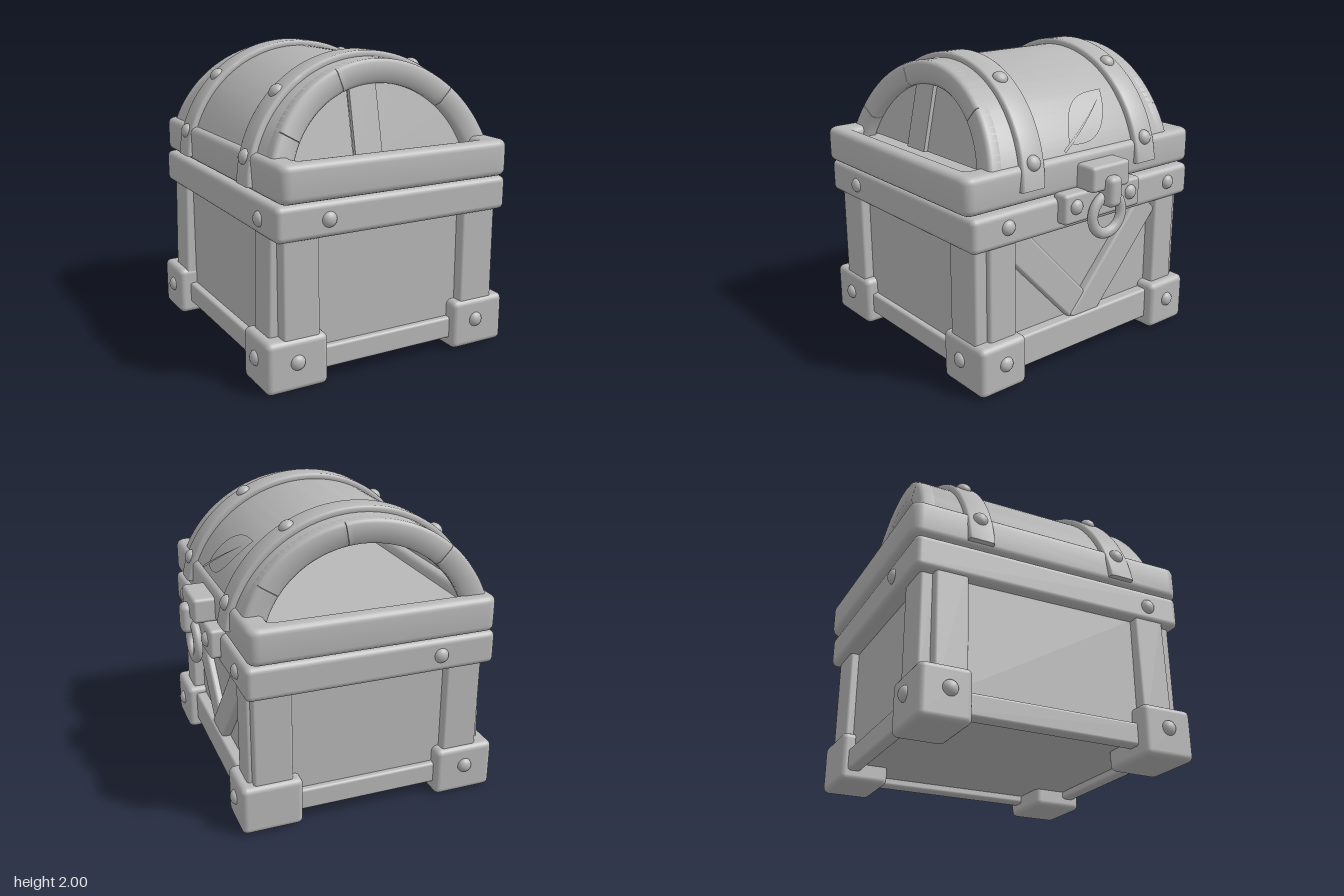
import * as THREE from 'three';
import { toCreasedNormals } from 'three/addons/utils/BufferGeometryUtils.js';
import { RoundedBoxGeometry } from 'three/addons/geometries/RoundedBoxGeometry.js';

// axis of the barrel lid, and how much wider than high it is
const CX = -0.045, CY = 1.163, WIDE = 1.035;

export function createModel() {
  const root = new THREE.Group();
  root.name = 'treasureChest';
  const grey = new THREE.MeshStandardMaterial({ color: 0xb8b8b8 });
  grey.name = 'plainGrey';

  const add = (name, geo) => {
    const m = new THREE.Mesh(geo, grey);
    m.name = name;
    root.add(m);
    return m;
  };
  // rounded box given by its bounds
  const block = (name, [x0, x1], [y0, y1], [z0, z1], r = 0.02) => {
    const m = add(name, new RoundedBoxGeometry(x1 - x0, y1 - y0, z1 - z0, 3, r));
    m.position.set((x0 + x1) / 2, (y0 + y1) / 2, (z0 + z1) / 2);
    return m;
  };
  // domed rivet facing along a direction
  const dome = new THREE.SphereGeometry(0.05, 20, 12);
  const rivet = (pos, dir) => {
    const m = add('rivet', dome);
    m.position.set(...pos);
    m.scale.z = 0.75;
    m.quaternion.setFromUnitVectors(new THREE.Vector3(0, 0, 1), new THREE.Vector3(...dir).normalize());
  };
  // bevelled bar swept round the lid axis; zBack and zFront may vary along it
  const arch = (name, ri, ro, a0, a1, zBack, zFront, bevel, steps = 48) => {
    const pos = [], idx = [], b = bevel;
    for (let i = 0; i <= steps; i++) {
      const a = a0 + (a1 - a0) * i / steps, c = Math.cos(a) * WIDE, s = Math.sin(a);
      const za = zBack(ro * c, CY + ro * s), zb = zFront(ro * c, CY + ro * s);
      const ring = [[ri + b, za], [ro - b, za], [ro - b * 0.3, za + b * 0.3], [ro, za + b], [ro, zb - b],
        [ro - b * 0.3, zb - b * 0.3], [ro - b, zb], [ri + b, zb], [ri, zb - b], [ri, za + b]];
      for (const [r, z] of ring) pos.push(CX + r * c, CY + r * s, z);
    }
    const n = 10;
    for (let i = 0; i < steps; i++) for (let j = 0; j < n; j++) {
      const k = (j + 1) % n, p = i * n, q = p + n;
      idx.push(p + j, q + j, q + k, p + j, q + k, p + k);
    }
    const e = steps * n;
    for (let j = 1; j < n - 1; j++) idx.push(0, j, j + 1, e, e + j + 1, e + j);
    const g = new THREE.BufferGeometry();
    g.setAttribute('position', new THREE.Float32BufferAttribute(pos, 3));
    g.setIndex(idx);
    add(name, toCreasedNormals(g, 0.9));
  };

  // chest body
  block('bodyPanel', [-0.82, 0.69], [0.13, 1.1], [-0.84, 0.83], 0.01);
  block('bodyTopRail', [-0.89, 0.79], [0.955, 1.18], [-0.955, 0.945], 0.04);
  block('frontBottomRail', [-0.7, 0.6], [0.08, 0.23], [0.78, 0.87]);
  block('backBottomRail', [-0.7, 0.6], [0.08, 0.23], [-0.88, -0.79]);
  block('rightBottomRail', [0.66, 0.765], [0.08, 0.3], [-0.75, 0.75]);
  block('leftBottomRail', [-0.87, -0.77], [0.08, 0.23], [-0.75, 0.75]);

  // corner posts, each made of two boards, and the feet below
  for (const s of [1, -1]) {
    const zr = (a, b) => (s > 0 ? [a, b] : [-b, -a]);
    block('cornerPostFace', [-0.83, -0.58], [0.2, 1.0], zr(0.8, 0.9));
    block('cornerPostFace', [0.48, 0.74], [0.2, 1.0], zr(0.8, 0.9));
    block('cornerPostSide', [0.66, 0.77], [0.2, 1.0], s > 0 ? [0.6, 0.81] : [-0.85, -0.65]);
    const side = block('cornerPostSide', [-0.885, -0.78], [0.2, 1.0], zr(0.6, 0.82));
    side.rotation.z = -0.025;
    const fz = s > 0 ? [0.56, 0.92] : [-0.93, -0.595];
    block('foot', [-0.95, -0.53], [0, 0.34], fz, 0.04);
    block('foot', [0.42, 0.83], [0.01, 0.345], fz, 0.04);
    rivet([0.825, 0.2, s > 0 ? 0.73 : -0.755], [1, 0, 0]);
    rivet([-0.945, 0.195, s * 0.74], [-1, 0, 0]);
  }
  rivet([-0.745, 0.19, 0.915], [0, 0, 1]);
  rivet([0.6, 0.2, 0.915], [0, 0, 1]);
  rivet([-0.74, 0.2, -0.93], [0, 0, -1]);

  // diagonal braces on the lock side
  const brace = (z0, y0, z1, y1, x) => {
    const len = Math.hypot(z1 - z0, y1 - y0);
    const m = add('diagonalBrace', new RoundedBoxGeometry(0.09, len, 0.205, 3, 0.02));
    m.position.set(x, (y0 + y1) / 2, (z0 + z1) / 2);
    m.rotation.x = Math.atan2(z1 - z0, y1 - y0);
  };
  brace(-0.04, 0.28, 0.6, 0.955, 0.693);
  brace(0.04, 0.24, -0.6, 0.96, 0.703);

  // rivets on the top rail
  rivet([-0.54, 1.07, 0.94], [0, 0, 1]);
  rivet([-0.5, 1.07, -0.95], [0, 0, -1]);
  rivet([0.785, 1.08, 0.68], [1, 0, 0]);
  rivet([0.785, 1.08, -0.74], [1, 0, 0]);
  rivet([-0.885, 1.06, 0.7], [-1, 0, 0]);

  // lid base: a thick round-cornered frame with a sunken floor
  const rect = (p, x0, x1, h, r) => p.moveTo(x0 + r, -h).lineTo(x1 - r, -h).quadraticCurveTo(x1, -h, x1, r - h)
    .lineTo(x1, h - r).quadraticCurveTo(x1, h, x1 - r, h).lineTo(x0 + r, h)
    .quadraticCurveTo(x0, h, x0, h - r).lineTo(x0, r - h).quadraticCurveTo(x0, -h, x0 + r, -h);
  const frame = rect(new THREE.Shape(), -0.83, 0.73, 0.935, 0.03);
  frame.holes.push(rect(new THREE.Path(), -0.75, 0.65, 0.9, 0.08));
  const frameGeo = new THREE.ExtrudeGeometry(frame, {
    depth: 0.15, bevelSize: 0.045, bevelThickness: 0.045, bevelSegments: 5, curveSegments: 6 });
  frameGeo.rotateX(-Math.PI / 2);
  add('lidFrame', toCreasedNormals(frameGeo, 0.8)).position.y = 1.235;
  block('lidFloor', [-0.8, 0.7], [1.22, 1.36], [-0.9, 0.9]);

  // barrel lid with leaning ends
  const h = (y) => (y - 1.43) / 0.53;
  const front = (x, y) => 0.775 - 0.12 * h(y);
  const back = (x, y) => -0.835 + 0.09 * x + 0.04 * h(y);
  const A0 = 0.29, A1 = Math.PI - 0.29;
  arch('barrelShell', 0.75, 0.8, A0, A1, (x, y) => back(x, y) + 0.024, (x, y) => front(x, y) - 0.024, 0.002);
  const rim = (name, joints, zb, zf) => {
    for (let i = 0; i < joints.length - 1; i++)
      arch(name, 0.645, 0.8, joints[i] + 0.002, joints[i + 1] - 0.002, zb, zf, 0.025, 18);
  };
  rim('frontRim', [A0, 0.84, 1.93, 2.6, A1], (x, y) => front(x, y) - 0.11, front);
  rim('backRim', [A0, 0.6, 1.4, 2.3, A1], back, (x, y) => back(x, y) + 0.11);

  // upright planks closing the front arch
  const plank = (x0, x1, z) => {
    const s = new THREE.Shape();
    s.moveTo(x0, 0).lineTo(x1, 0);
    for (let i = 0; i <= 12; i++) {
      const x = x1 + (x0 - x1) * i / 12;
      s.lineTo(x, Math.sqrt(0.73 ** 2 - (x - CX) ** 2) - 0.21);
    }
    const m = add('frontPlank', new THREE.ExtrudeGeometry(s, { depth: 0.03, bevelEnabled: false }));
    m.position.set(0, 1.37, z);
    m.rotation.x = -0.21;
  };
  plank(-0.72, -0.235, 0.665);
  plank(-0.23, -0.035, 0.69);
  plank(-0.03, 0.63, 0.665);

  // straps over the lid, their ends lapping the lid frame
  const straps = [(x, y) => 0.475 - 0.07 * h(y), (x, y) => -0.515 - 0.02 * h(y) + 0.02 * x];
  for (const mid of straps) {
    arch('lidStrap', 0.78, 0.838, 0.14, Math.PI - 0.075,
      (x, y) => mid(x, y) - 0.088, (x, y) => mid(x, y) + 0.088, 0.015, 64);
    for (const a of [0.335, 1.054, 2.32, 2.86]) {
      const c = Math.cos(a) * WIDE, s = Math.sin(a), r = 0.835;
      rivet([CX + r * c, CY + r * s, mid(r * c, CY + r * s)], [c, s, 0]);
    }
  }

  // leaf ornament wrapped on the lid, from thin strips given as z, y
  const wrap = (name, [z0, y0], [z1, y1], width, lift) => {
    const g = new THREE.PlaneGeometry(1, 1, 20, 6), p = g.attributes.position;
    const dz = z1 - z0, dy = y1 - y0, len = Math.hypot(dz, dy);
    for (let i = 0; i < p.count; i++) {
      const u = p.getX(i) + 0.5, v = p.getY(i) * 2 * width(u);
      const z = z0 + dz * u + v * dy / len, y = y0 + dy * u - v * dz / len;
      p.setXYZ(i, CX + WIDE * Math.sqrt((0.8 + lift) ** 2 - (y - CY) ** 2), y, z);
    }
    g.computeVertexNormals();
    add(name, g);
  };
  wrap('leafBlade', [0.13, 1.49], [-0.31, 1.75], (u) => 0.11 * Math.sin(Math.PI * u ** 0.85) + 0.001, 0.008);
  wrap('leafStem', [0.19, 1.45], [-0.23, 1.7], (u) => 0.009 * (1 - u) + 0.001, 0.014);

  // lock: plate, hasp, loop and hanging ring
  block('lockPlate', [0.74, 0.86], [1.01, 1.21], [-0.385, 0.285], 0.025);
  rivet([0.855, 1.12, 0.19], [1, 0, 0]);
  rivet([0.855, 1.12, -0.29], [1, 0, 0]);
  block('haspBlock', [0.72, 0.92], [1.2, 1.37], [-0.22, 0.11], 0.025);
  block('haspLoop', [0.84, 0.975], [1.09, 1.295], [-0.11, 0.005], 0.04);
  const ring = add('lockRing', new THREE.TorusGeometry(0.127, 0.038, 14, 40));
  ring.rotation.y = Math.PI / 2;
  ring.scale.z = 0.8;
  ring.position.set(0.89, 1.03, -0.05);

  return root;
}
